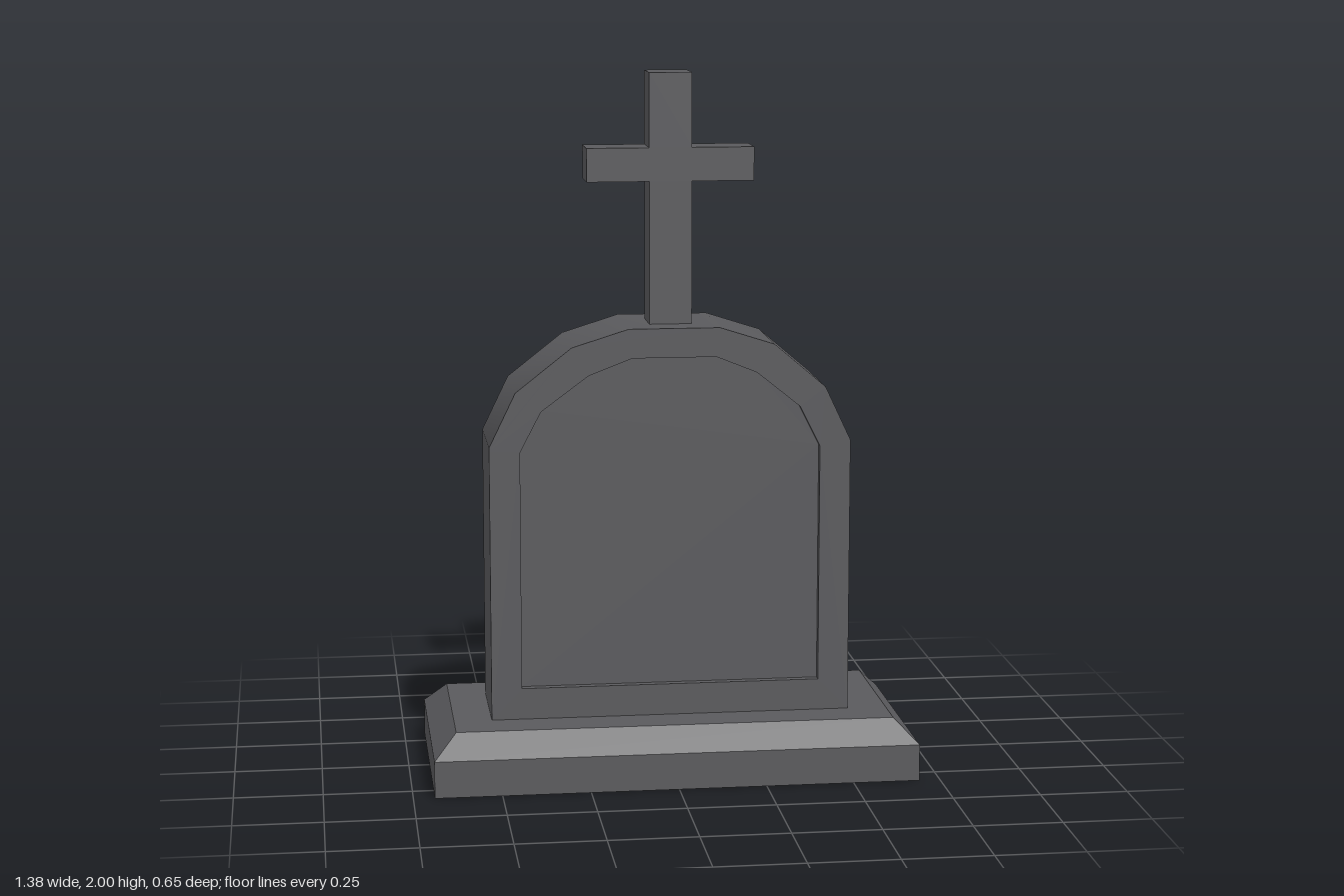
import * as THREE from 'three';
import { toCreasedNormals } from 'three/addons/utils/BufferGeometryUtils.js';

const toPoints = (list) => list.map(([x, y]) => new THREE.Vector2(x, y));

// Extrude an outline, centred on z = 0
function extrude(outline, depth, hole) {
  const shape = new THREE.Shape(toPoints(outline));
  if (hole) shape.holes.push(new THREE.Path(toPoints(hole)));
  const geometry = new THREE.ExtrudeGeometry(shape, { depth, bevelEnabled: false });
  return geometry.translate(0, 0, -depth / 2);
}

export function createModel() {
  const group = new THREE.Group();
  const stone = new THREE.MeshStandardMaterial({ color: 0x5a5a5d });
  stone.name = 'dark grey stone';

  const add = (name, geometry) => {
    const mesh = new THREE.Mesh(geometry, stone);
    mesh.name = name;
    group.add(mesh);
  };

  // Plinth: a box whose upper ring is drawn in to form the chamfer
  const plinth = new THREE.BoxGeometry(1.38, 0.17, 0.65, 1, 2, 1).translate(0, 0.085, 0);
  const p = plinth.attributes.position;
  for (let i = 0; i < p.count; i++) {
    const y = p.getY(i);
    if (y > 0.16) {
      p.setX(i, Math.sign(p.getX(i)) * 0.625);
      p.setZ(i, Math.sign(p.getZ(i)) * 0.26);
    } else if (y > 0.05) p.setY(i, 0.105);
  }
  const flatPlinth = plinth.toNonIndexed();
  flatPlinth.computeVertexNormals();
  add('plinth', flatPlinth);

  // Headstone: arched frame around a panel recessed on both faces
  const slabOutline = [
    [-0.517, 0.17], [0.513, 0.17], [0.513, 0.95], [0.513, 0.96], [0.44, 1.115], [0.293, 1.24],
    [0.137, 1.29], [-0.122, 1.29], [-0.283, 1.24], [-0.442, 1.115], [-0.517, 0.96], [-0.517, 0.95],
  ];
  const panelOutline = [
    [-0.43, 0.26], [0.425, 0.26], [0.425, 0.945], [0.367, 1.06], [0.243, 1.16],
    [0.127, 1.207], [-0.112, 1.207], [-0.235, 1.16], [-0.37, 1.06], [-0.43, 0.945],
  ];
  add('headstoneFrame', toCreasedNormals(extrude(slabOutline, 0.295, panelOutline), 0.6));
  add('recessedPanel', extrude(panelOutline, 0.25));

  // Cross standing on the arch
  const [left, right, low, high] = [-0.053, 0.068, 1.695, 1.79];
  add('cross', extrude([
    [left, 1.28], [right, 1.28], [right, low], [0.245, low], [0.245, high], [right, high],
    [right, 2], [left, 2], [left, high], [-0.23, high], [-0.23, low], [left, low],
  ], 0.12));

  return group;
}
